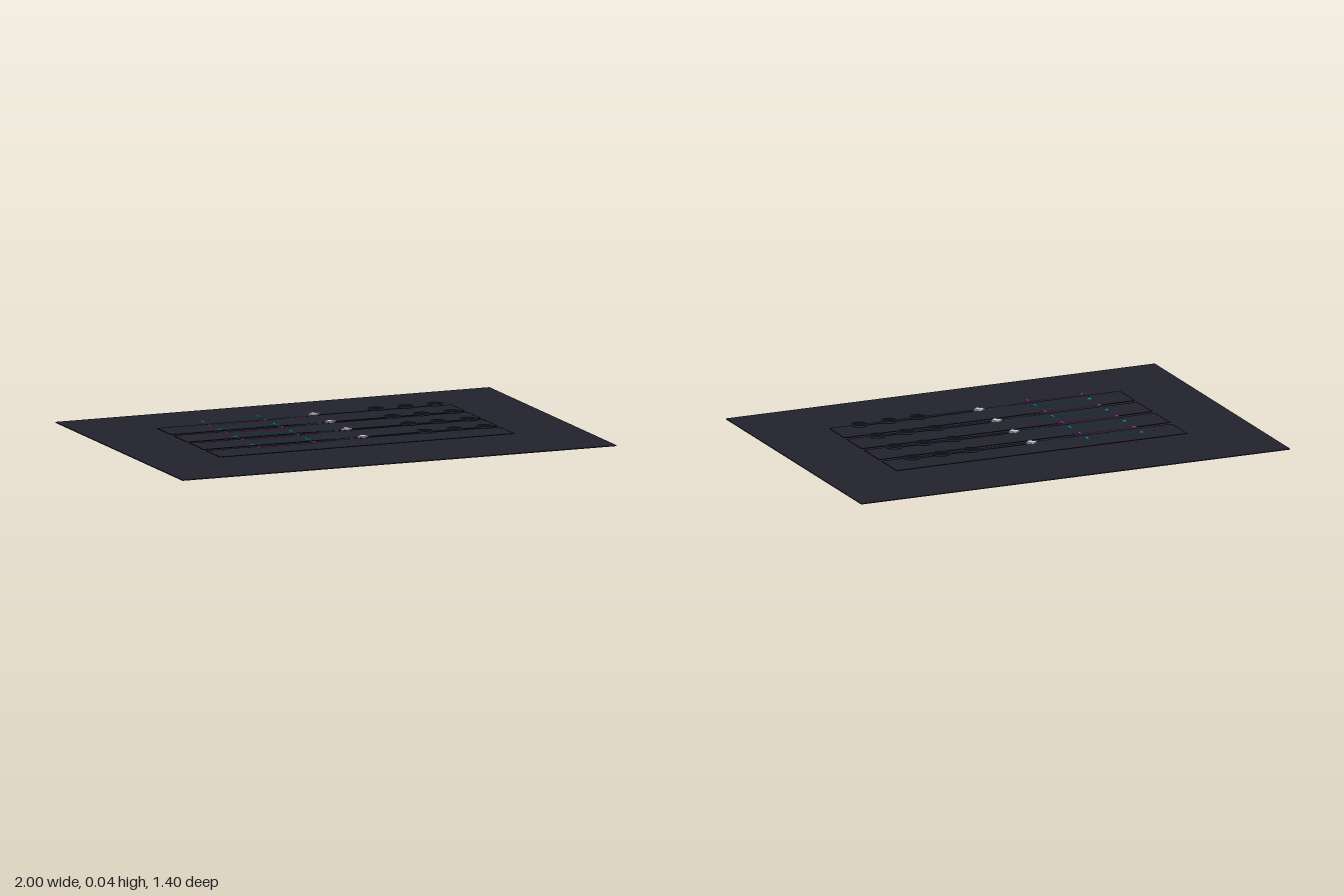
import * as THREE from 'three';

export function createModel() {
  const model = new THREE.Group();
  model.name = 'opticsBoard';

  const mat = (name, color) => {
    const m = new THREE.MeshStandardMaterial({ color, side: THREE.DoubleSide });
    m.name = name;
    return m;
  };
  const slate = mat('slate', 0x23232e);
  const outline = mat('outline', 0x15151c);
  const teal = mat('teal', 0x25b5bd);
  const purple = mat('purple', 0x9556b8);
  const silver = mat('silver', 0xc4c6cc);
  const black = mat('black', 0x0c0e12);
  const steel = mat('steel', 0x40586c);
  const wire = mat('darkWire', 0x222d3a);

  const add = (parent, name, geometry, material, x = 0, y = 0, z = 0) => {
    const mesh = new THREE.Mesh(geometry, material);
    mesh.name = name;
    mesh.position.set(x, y, z);
    parent.add(mesh);
    return mesh;
  };

  // Flat horizontal plate from a list of [x, z] corners
  const plate = (points, height) => {
    const shape = new THREE.Shape(points.map(([x, z]) => new THREE.Vector2(x, -z)));
    return new THREE.ExtrudeGeometry(shape, { depth: height, bevelEnabled: false }).rotateX(-Math.PI / 2);
  };

  // Thin bar between two points on the board
  const bar = (parent, name, x0, z0, x1, z1, width, y, material) => {
    const length = Math.hypot(x1 - x0, z1 - z0);
    const mesh = add(parent, name, new THREE.BoxGeometry(length, 0.003, width), material, (x0 + x1) / 2, y, (z0 + z1) / 2);
    mesh.rotation.y = -Math.atan2(z1 - z0, x1 - x0);
  };

  add(model, 'basePlate', new THREE.BoxGeometry(2, 0.004, 1.4), slate, 0, 0.002, 0);

  const lineY = 0.035;
  const nodeX = -0.23;
  const joinX = 0.012;
  const strip = { x0: -0.678, x1: 0.675, half: 0.076 };

  const diamond = plate([[-0.026, 0], [0, 0.026], [0.026, 0], [0, -0.026]], 0.006);
  const hourglass = plate([[-0.01, -0.015], [-0.003, 0], [-0.01, 0.015], [0.01, 0.015], [0.003, 0], [0.01, -0.015]], 0.004);
  const endDot = new THREE.CylinderGeometry(0.01, 0.01, 0.005, 12);
  const disc = new THREE.CylinderGeometry(0.034, 0.034, 0.007, 24);
  const rim = new THREE.TorusGeometry(0.034, 0.0022, 6, 24).rotateX(Math.PI / 2);

  [-0.27, -0.09, 0.09, 0.27].forEach((z, i) => {
    const row = new THREE.Group();
    row.name = 'row' + (i + 1);
    row.position.z = z;
    model.add(row);

    // Raised strip with a dark border
    const { x0, x1, half } = strip;
    add(row, 'strip', new THREE.BoxGeometry(x1 - x0, 0.002, half * 2), slate, (x0 + x1) / 2, 0.015, 0);
    for (const s of [-1, 1]) {
      bar(row, 'stripBorder', x0, s * half, x1, s * half, 0.004, 0.015, outline);
      const x = s < 0 ? x0 : x1;
      bar(row, 'stripBorder', x, -half, x, half, 0.004, 0.015, outline);
    }

    // Two coloured input branches that meet at the diamond
    for (const [side, color] of [[-0.04, teal], [0.04, purple]]) {
      bar(row, 'inputLine', -0.484, side, nodeX, side, 0.005, lineY, color);
      add(row, 'endDot', endDot, color, -0.484, 0.037, side);
      add(row, 'hourglass', hourglass, color, nodeX, 0.038, side);
      const dashes = 8;
      for (let d = 0; d < dashes; d++) {
        const a = (d + 0.1) / dashes;
        const b = (d + 0.7) / dashes;
        const at = (t) => [nodeX + (joinX - nodeX) * t, side * (1 - t)];
        bar(row, 'dash', ...at(a), ...at(b), 0.005, lineY, color);
      }
    }
    add(row, 'diamond', diamond, silver, joinX, 0.037, 0);

    // Output line through three rimmed discs
    bar(row, 'outputLine', 0.04, 0, 0.6, 0, 0.005, 0.034, wire);
    for (const x of [0.297, 0.433, 0.571]) {
      add(row, 'disc', disc, black, x, 0.04, 0);
      add(row, 'discRim', rim, steel, x, 0.042, 0);
    }
  });

  return model;
}
